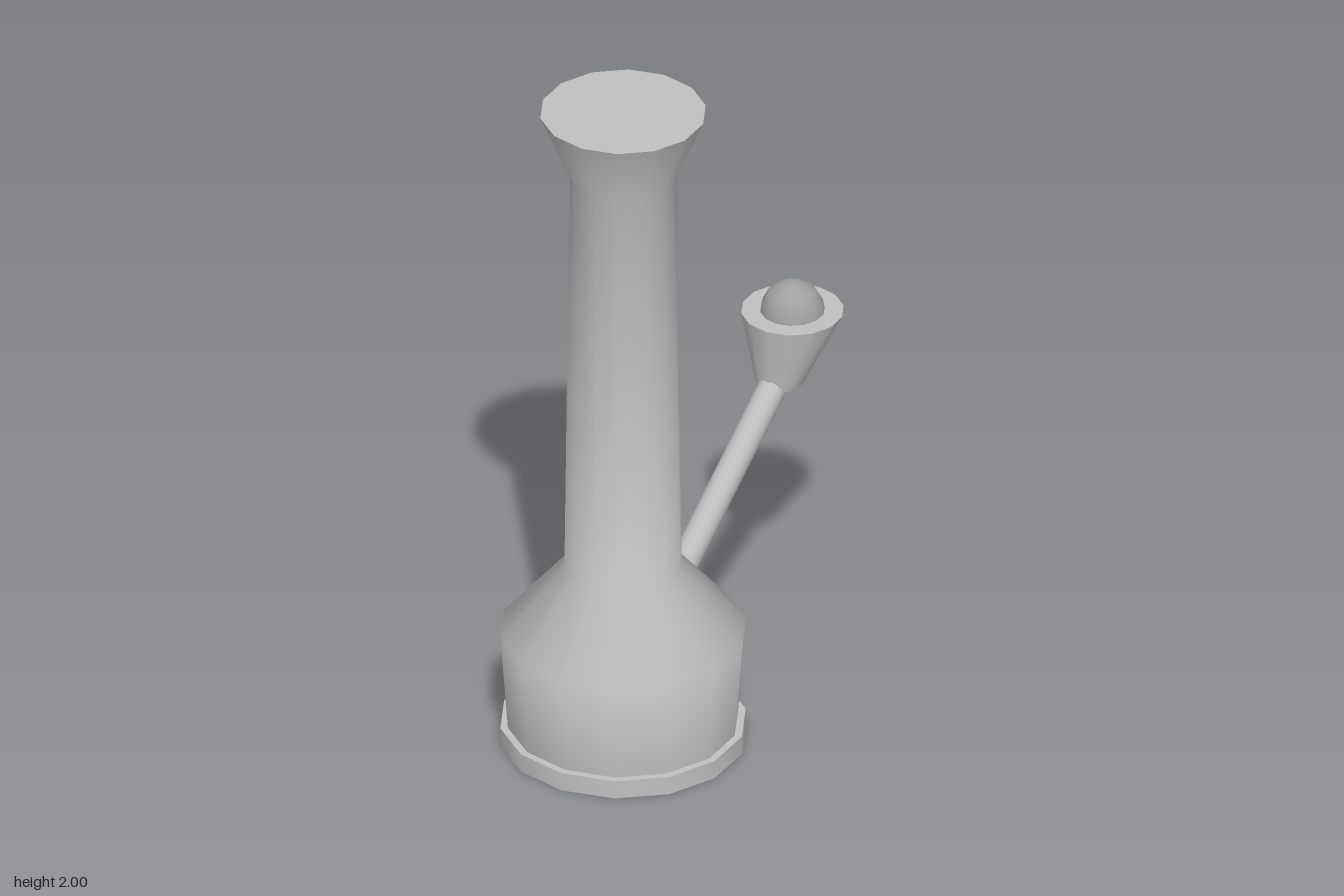
import * as THREE from 'three';
import { toCreasedNormals } from 'three/addons/utils/BufferGeometryUtils.js';

const SIDES = 14;

// Closed solid of revolution with a corner on the x axis
function lathe(points) {
  const profile = points.map(([r, y]) => new THREE.Vector2(r, y));
  const geo = new THREE.LatheGeometry(profile, SIDES, Math.PI / 2);
  return toCreasedNormals(geo, 0.95);
}

export function createModel() {
  const group = new THREE.Group();
  const grey = new THREE.MeshStandardMaterial({ color: 0xc0c0c0 });
  grey.name = 'light grey';
  const darkGrey = new THREE.MeshStandardMaterial({ color: 0xa0a0a0 });
  darkGrey.name = 'mid grey';

  function add(name, geo, mat, x = 0, y = 0, z = 0) {
    const mesh = new THREE.Mesh(geo, mat);
    mesh.name = name;
    mesh.position.set(x, y, z);
    group.add(mesh);
    return mesh;
  }

  // Foot ring, chamber, neck and flared mouth
  add('body', lathe([
    [0, 0], [0.343, 0], [0.343, 0.055], [0.322, 0.055], [0.343, 0.345],
    [0.164, 0.555], [0.149, 1.8], [0.231, 2], [0, 2],
  ]), grey, -0.177, 0, 0.141);

  // Slanted stem, its lower end sunk into the shoulder
  const low = new THREE.Vector3(0.005, 0.41, -0.02);
  const high = new THREE.Vector3(0.315, 0.845, -0.28);
  const axis = high.clone().sub(low);
  const stem = add('stem', new THREE.CylinderGeometry(0.04, 0.04, axis.length(), SIDES), grey);
  stem.position.copy(low).add(high).multiplyScalar(0.5);
  stem.quaternion.setFromUnitVectors(new THREE.Vector3(0, 1, 0), axis.normalize());

  // Bowl: its narrow bottom is shifted towards the stem
  const bowl = new THREE.CylinderGeometry(0.143, 0.065, 0.205, SIDES, 1, false, Math.PI / 2);
  const pos = bowl.attributes.position;
  for (let i = 0; i < pos.count; i++) {
    if (pos.getY(i) < 0) pos.setXYZ(i, pos.getX(i) - 0.042, pos.getY(i), pos.getZ(i) + 0.035);
  }
  add('bowl', toCreasedNormals(bowl, 0.95), grey, 0.373, 0.9325, -0.341);

  // Domed filling
  add('filling', lathe([
    [0.09, 0], [0.085, 0.025], [0.064, 0.064], [0.03, 0.083], [0, 0.092],
  ]), darkGrey, 0.373, 1.035, -0.341);

  return group;
}
